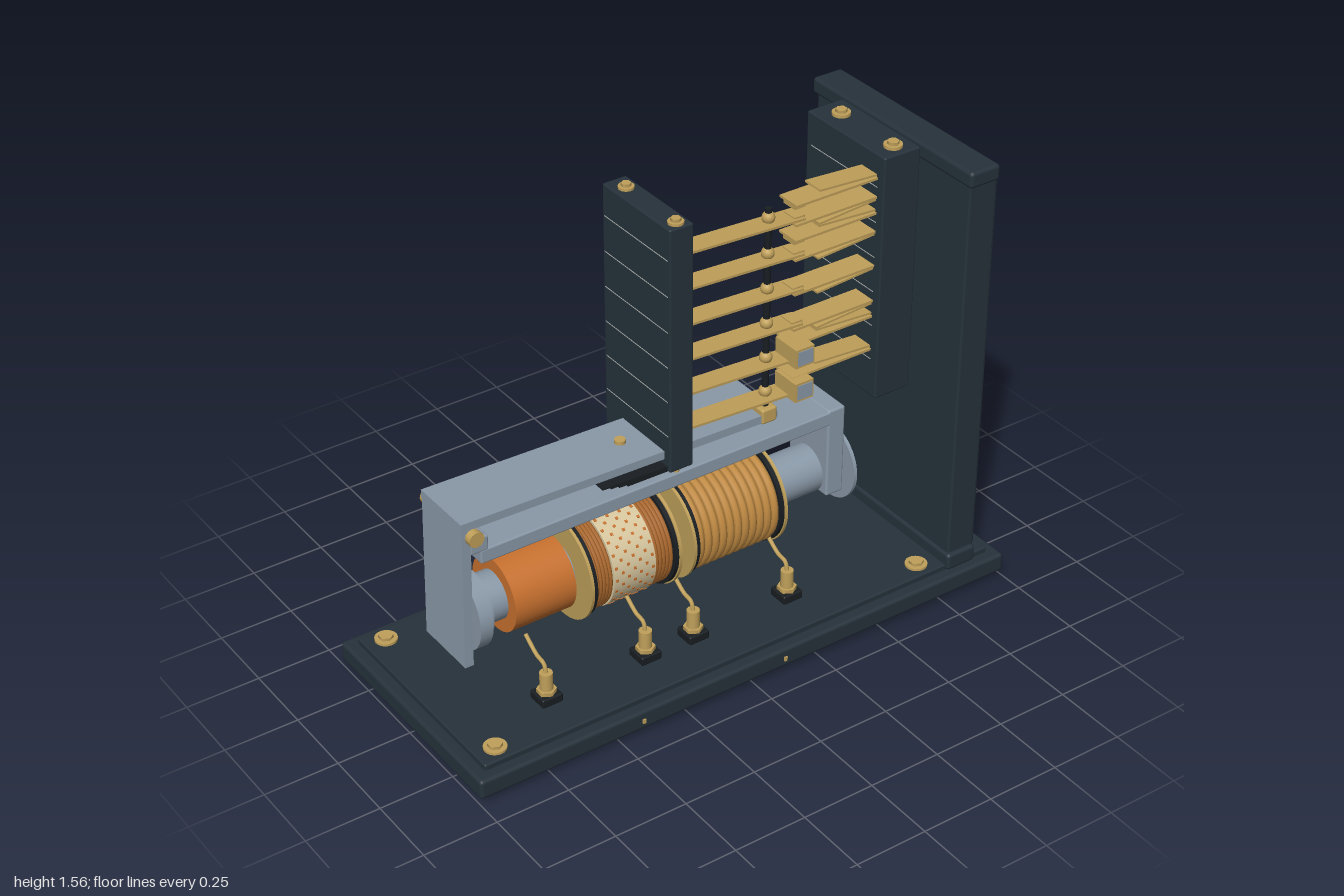
import * as THREE from 'three';
import { mergeGeometries } from 'three/addons/utils/BufferGeometryUtils.js';
import { RoundedBoxGeometry } from 'three/addons/geometries/RoundedBoxGeometry.js';

const material = (name, color) => Object.assign(new THREE.MeshStandardMaterial({ color }), { name });

export function createModel() {
  const model = new THREE.Group();
  model.name = 'relay';
  const slate = material('slate', 0x26323b);
  const black = material('black', 0x191e22);
  const steel = material('steel', 0x8a99a8);
  const brass = material('brass', 0xc0a05a);
  const orange = material('orange', 0xc8712f);
  const copper = material('copper', 0xa9672c);
  const amber = material('amber wire', 0xc08a42);
  const cream = material('cream', 0xd8c8a0);
  const pale = material('pale seam', 0xa9adab);

  const add = (name, geometry, mat, x = 0, y = 0, z = 0) => {
    const mesh = new THREE.Mesh(geometry, mat);
    mesh.name = name;
    mesh.position.set(x, y, z);
    model.add(mesh);
    return mesh;
  };
  // Box given by its limits on each axis, with optional rounded edges
  const box = (name, mat, [x0, x1], [y0, y1], [z0, z1], round = 0) => {
    const s = [x1 - x0, y1 - y0, z1 - z0];
    const g = round ? new RoundedBoxGeometry(...s, 2, round) : new THREE.BoxGeometry(...s);
    return add(name, g, mat, (x0 + x1) / 2, (y0 + y1) / 2, (z0 + z1) / 2);
  };
  // Upright cylinder from y0 to y1
  const post = (name, mat, r, x, y0, y1, z, sides = 20) =>
    add(name, new THREE.CylinderGeometry(r, r, y1 - y0, sides), mat, x, (y0 + y1) / 2, z);
  // Cylinder along x from x0 to x1
  const axle = (name, mat, r, x0, x1, y, z = 0, sides = 40) =>
    add(name, new THREE.CylinderGeometry(r, r, x1 - x0, sides).rotateZ(Math.PI / 2), mat, (x0 + x1) / 2, y, z);
  // Thin strip between two points of the xy plane
  const strip = (name, mat, x0, y0, x1, y1, thick, z0, z1) => {
    const g = new THREE.BoxGeometry(Math.hypot(x1 - x0, y1 - y0), thick, z1 - z0);
    add(name, g, mat, (x0 + x1) / 2, (y0 + y1) / 2, (z0 + z1) / 2).rotation.z = Math.atan2(y1 - y0, x1 - x0);
  };
  // Row of wire rings along x
  const rings = (name, mat, x0, x1, count, r, tube, y) => {
    const list = [];
    for (let i = 0; i < count; i++) {
      const x = x0 + (x1 - x0) * i / (count - 1);
      list.push(new THREE.TorusGeometry(r, tube, 8, 48).rotateY(Math.PI / 2).translate(x, y, 0));
    }
    add(name, mergeGeometries(list), mat);
  };
  const screw = (name, x, y, z, r) => {
    post(name, brass, r, x, y, y + 0.01, z);
    post(name + 'Head', brass, r * 0.65, x, y, y + 0.02, z, 6);
  };

  // Base with feet and bolts
  box('base', slate, [-1, 1], [0.02, 0.088], [-0.415, 0.415], 0.012);
  box('baseTop', slate, [-0.96, 0.96], [0.08, 0.108], [-0.375, 0.375], 0.006);
  for (const x of [-0.89, 0.71]) for (const z of [-0.32, 0.32]) {
    post('foot', black, 0.053, x, 0, 0.025, z, 24);
    screw('baseBolt', x, 0.106, z, 0.037);
  }
  for (const x of [-0.42, 0.115]) box('basePin', brass, [x - 0.005, x + 0.005], [0.045, 0.06], [0.41, 0.42]);

  // Upright panel with end caps and terminal pins
  box('panel', slate, [0.795, 0.9], [0.1, 1.54], [-0.375, 0.375], 0.008);
  box('panelCap', slate, [0.785, 0.898], [1.49, 1.545], [-0.39, 0.39], 0.012);
  box('panelFoot', slate, [0.785, 0.898], [0.09, 0.15], [-0.39, 0.39], 0.012);
  box('panelFace', slate, [0.89, 0.926], [0.122, 1.508], [-0.348, 0.348], 0.006);
  for (const z of [-0.19, 0.19]) axle('panelPin', steel, 0.023, 0.92, 1, 0.287, z, 16);

  // Insulating blocks that hold the contact blades
  box('fixedBlock', slate, [0.64, 0.777], [0.685, 1.54], [-0.225, 0.16], 0.006);
  box('movingBlock', slate, [-0.13, -0.045], [0.692, 1.535], [-0.21, 0.14], 0.006);
  for (const z of [-0.145, 0.11]) {
    screw('fixedBlockScrew', 0.71, 1.54, z, 0.03);
    screw('movingBlockScrew', -0.088, 1.533, z, 0.025);
    post('fixedBlockScrewEnd', brass, 0.015, 0.71, 0.663, 0.69, z);
    post('movingBlockScrewEnd', brass, 0.01, -0.088, 0.67, 0.695, z);
  }

  // Moving blades, their rod collars, rear tabs and block seams
  const movingY = [1.43, 1.308, 1.186, 1.064, 0.942, 0.82];
  for (const y of movingY) {
    strip('movingBlade', brass, -0.05, y, 0.37, y - 0.022, 0.008, 0.055, 0.13);
    box('movingContact', brass, [0.335, 0.375], [y - 0.03, y - 0.012], [0.065, 0.12]);
    add('rodCollar', new THREE.SphereGeometry(0.021, 14, 10), brass, 0.262, y, 0.088);
    box('rearTab', brass, [0.92, 0.96], [y - 0.005, y + 0.005], [-0.077, -0.045]);
    for (const x of [-0.13, -0.045, 0.64])
      box('blockSeam', pale, [x - 0.001, x + 0.001], [y - 0.0015, y + 0.0015], [-0.2, 0.13]);
  }
  // Fixed blades: side 1 lies above its moving blade, side -1 below
  const fixed = [[1.46, 1], [1.395, -1], [1.34, 1], [1.275, -1], [1.155, -1], [1.03, -1], [0.975, 1], [0.855, 1]];
  for (const [y, side] of fixed) {
    strip('fixedBlade', brass, 0.335, y, 0.65, y, 0.008, 0.045, 0.13);
    strip('backingBlade', brass, 0.425, y + side * 0.024, 0.65, y + side * 0.009, 0.007, 0.05, 0.125);
    box('fixedContact', brass, [0.335, 0.375], [y - side * 0.009 - 0.006, y - side * 0.009 + 0.006], [0.065, 0.12]);
    box('rearTab', brass, [0.92, 0.96], [y - 0.005, y + 0.005], [0.08, 0.112]);
  }
  // Heavy contacts on the two lowest blades
  for (const y of [0.945, 0.823]) {
    box('heavyContact', steel, [0.328, 0.384], [y - 0.023, y + 0.027], [0.06, 0.168]);
    for (const dy of [-0.027, 0.031])
      box('contactPlate', brass, [0.32, 0.39], [y + dy - 0.004, y + dy + 0.004], [0.06, 0.165]);
    for (const x of [0.324, 0.386])
      box('contactSide', brass, [x - 0.004, x + 0.004], [y - 0.023, y + 0.027], [0.06, 0.165]);
  }
  // Lifting rod
  post('liftingRod', black, 0.011, 0.262, 0.75, 1.462, 0.088, 14);
  box('rodSocket', brass, [0.233, 0.29], [0.715, 0.768], [0.06, 0.116], 0.008);

  // Armature: tilted top plate, hanging plate and hinge
  strip('armature', steel, -0.85, 0.762, 0.295, 0.732, 0.028, -0.115, 0.11);
  strip('armaturePlate', steel, -0.843, 0.255, -0.832, 0.772, 0.03, -0.115, 0.11);
  add('hingePin', new THREE.CylinderGeometry(0.018, 0.018, 0.28, 16).rotateX(Math.PI / 2), brass, -0.815, 0.727, 0);
  for (const s of [-1, 1])
    add('hingeKnob', new THREE.CylinderGeometry(0.026, 0.026, 0.025, 12).rotateX(Math.PI / 2), brass, -0.815, 0.727, s * 0.128);
  post('armatureScrew', brass, 0.018, -0.215, 0.745, 0.772, -0.005);
  // Fanned return springs below the moving block
  for (let i = 0; i < 4; i++)
    strip('returnSpring', black, -0.365 + i * 0.03, 0.718 - i * 0.007, -0.06, 0.703 - i * 0.003, 0.006, -0.1, 0.125);

  // Magnet frame
  box('frameBar', steel, [-0.78, 0.56], [0.6, 0.65], [-0.1, 0.1], 0.006);
  box('frameLip', steel, [-0.815, -0.752], [0.645, 0.698], [-0.1, 0.1], 0.006);
  box('frameLeg', steel, [0.505, 0.572], [0.33, 0.655], [-0.1, 0.1], 0.008);

  // Core with pole discs
  const cy = 0.392;
  axle('core', steel, 0.081, -0.78, 0.52, cy);
  axle('poleDisc', steel, 0.135, -0.812, -0.768, cy);
  axle('poleCollar', steel, 0.112, -0.77, -0.75, cy);
  axle('coreEnd', steel, 0.06, 0.51, 0.62, cy);
  axle('endDisc', steel, 0.135, 0.59, 0.602, cy);
  axle('endNut', steel, 0.095, 0.6, 0.62, cy, 0, 24);
  axle('sleeve', orange, 0.125, -0.682, -0.466, cy, 0, 48);

  // Bobbin cheeks: brass outside, black inside
  for (const [x, s] of [[-0.436, 1], [-0.112, -1], [-0.057, 1], [0.292, -1]]) {
    axle('cheek', brass, 0.174, x - 0.005, x + 0.005, cy, 0, 48);
    axle('cheekLining', black, 0.169, x + s * 0.012 - 0.008, x + s * 0.012 + 0.008, cy, 0, 48);
  }
  // Taped coil
  axle('tapedCoilCore', copper, 0.148, -0.43, -0.12, cy, 0, 48);
  rings('windingLeft', copper, -0.408, -0.36, 5, 0.15, 0.008, cy);
  rings('windingRight', copper, -0.19, -0.137, 5, 0.15, 0.008, cy);
  axle('tape', cream, 0.161, -0.352, -0.198, cy, 0, 48);
  const dots = [];
  for (let i = 0; i < 7; i++) for (let j = 0; j < 24; j++) {
    const g = new THREE.BoxGeometry(0.009, 0.004, 0.009).translate(0, 0.161, 0);
    dots.push(g.rotateX((j + (i % 2) / 2) * Math.PI / 12).translate(-0.341 + i * 0.022, cy, 0));
  }
  add('tapeDots', mergeGeometries(dots), orange);
  // Open wound coil
  axle('openCoilCore', copper, 0.148, -0.05, 0.285, cy, 0, 48);
  rings('openWinding', amber, -0.024, 0.26, 11, 0.15, 0.0145, cy);

  // Terminals with lead wires
  for (const x of [-0.64, -0.277, -0.097, 0.267]) {
    box('terminalFoot', black, [x - 0.037, x + 0.037], [0.106, 0.137], [0.178, 0.252], 0.006);
    post('terminalNut', brass, 0.032, x, 0.135, 0.15, 0.215, 6);
    post('terminalPost', brass, 0.021, x, 0.15, 0.21, 0.215);
    const path = new THREE.CatmullRomCurve3([[0.2, 0.215], [0.235, 0.205], [0.245, 0.165], [0.285, 0.105]]
      .map(([y, z]) => new THREE.Vector3(x, y, z)));
    add('leadWire', new THREE.TubeGeometry(path, 14, 0.007, 8), brass);
  }
  return model;
}
